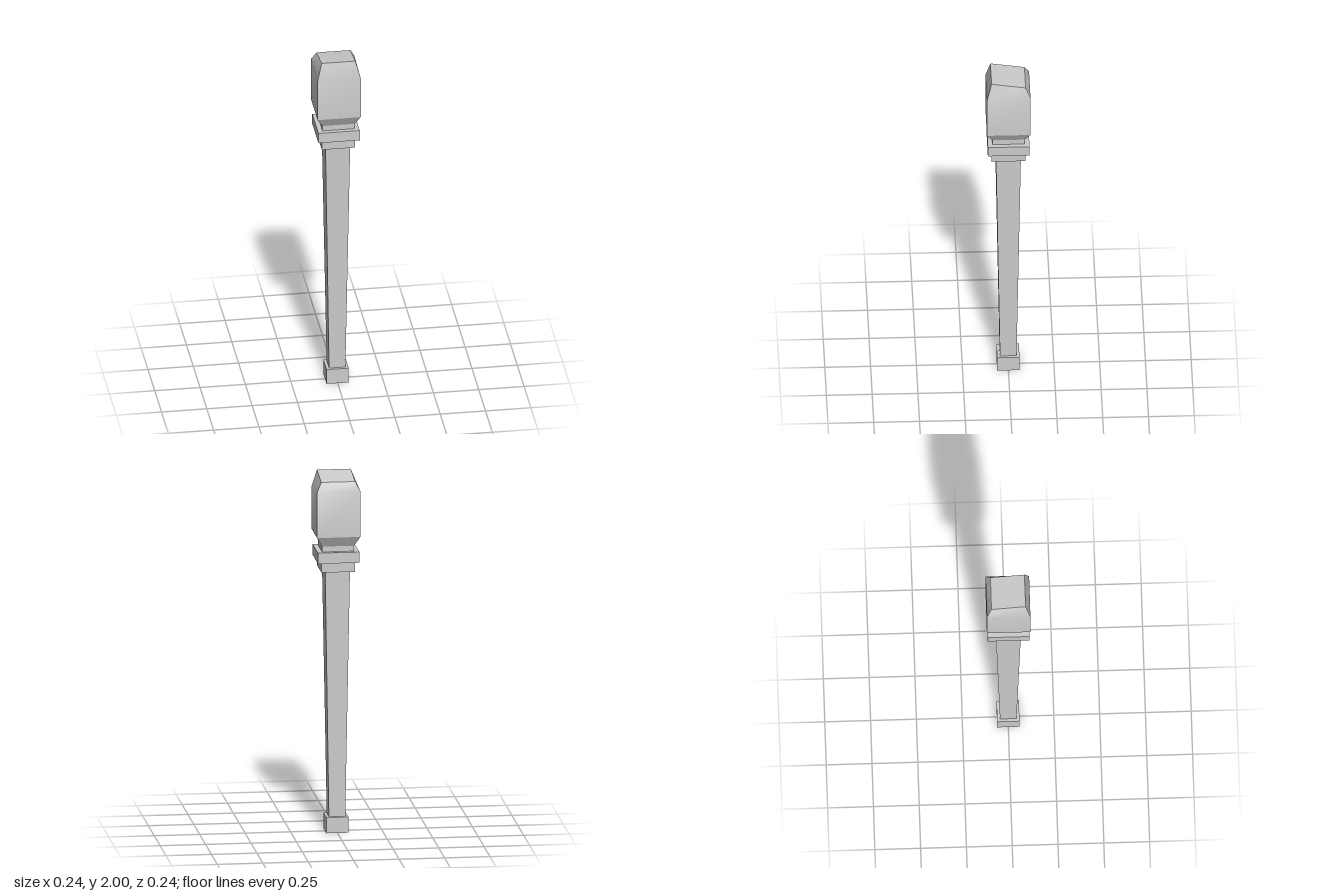
import * as THREE from 'three';
import { toCreasedNormals } from 'three/addons/utils/BufferGeometryUtils.js';

const material = new THREE.MeshStandardMaterial({ color: 0xcccccc });

// Closed square loft; each ring is [half width, front height, back height]
function squareLoft(name, rings) {
  const pos = [], idx = [];
  for (const [h, yf, yb = yf] of rings) {
    pos.push(-h, yf, h, h, yf, h, h, yb, -h, -h, yb, -h);
  }
  for (let r = 0; r < rings.length - 1; r++) {
    for (let i = 0; i < 4; i++) {
      const a = r * 4 + i, b = r * 4 + (i + 1) % 4;
      idx.push(a, b, b + 4, a, b + 4, a + 4);
    }
  }
  const t = (rings.length - 1) * 4;
  idx.push(0, 2, 1, 0, 3, 2, t, t + 1, t + 2, t, t + 2, t + 3);
  const geo = new THREE.BufferGeometry();
  geo.setAttribute('position', new THREE.Float32BufferAttribute(pos, 3));
  geo.setIndex(idx);
  const mesh = new THREE.Mesh(toCreasedNormals(geo, 0.5), material);
  mesh.name = name;
  return mesh;
}

export function createModel() {
  const group = new THREE.Group();
  group.name = 'post';
  group.add(
    squareLoft('foot', [[0.061, 0], [0.061, 0.088]]),
    // Shaft widens slowly towards the top
    squareLoft('shaft', [[0.045, 0.088], [0.068, 1.465]]),
    squareLoft('lowerCollar', [[0.092, 1.465], [0.092, 1.52]]),
    squareLoft('upperCollar', [[0.114, 1.52], [0.114, 1.58]]),
    squareLoft('neck', [[0.088, 1.58], [0.088, 1.61]]),
    // Head flares out, rises straight, then closes to a top sloping to the back
    squareLoft('head', [
      [0.088, 1.61], [0.119, 1.665], [0.119, 1.903, 1.92], [0.093, 2, 1.97],
    ]),
  );
  return group;
}
